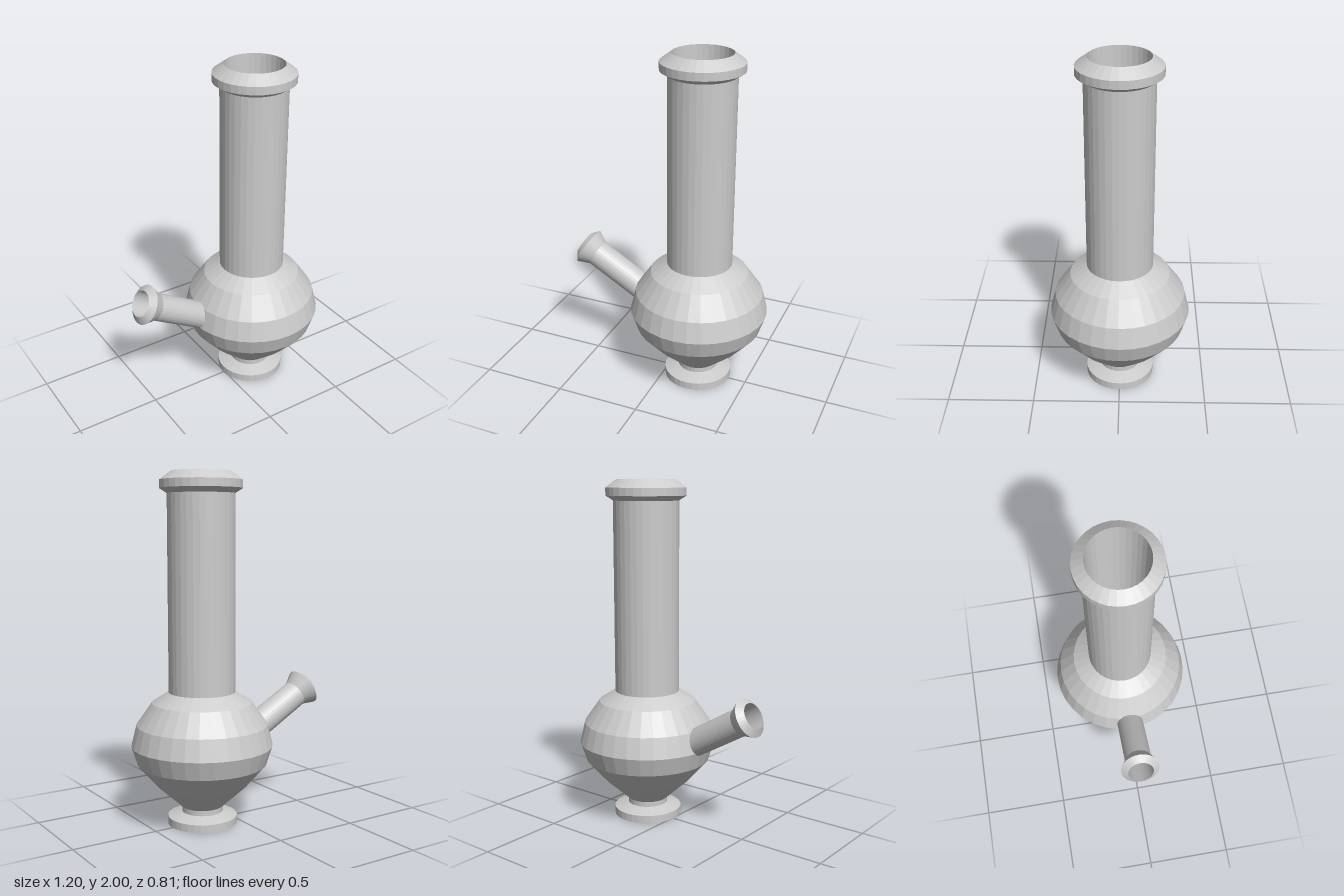
import * as THREE from 'three';

const material = new THREE.MeshStandardMaterial({ color: 0xcccccc, flatShading: true });

// Revolve [radius, height] pairs around the y axis
function turned(name, profile, sides) {
  const points = profile.map(([r, y]) => new THREE.Vector2(r, y));
  const mesh = new THREE.Mesh(new THREE.LatheGeometry(points, sides), material);
  mesh.name = name;
  return mesh;
}

export function createModel() {
  const model = new THREE.Group();
  model.name = 'waterPipe';

  // Upright vessel, all turned on one axis
  const vessel = new THREE.Group();
  vessel.name = 'vessel';
  vessel.position.x = 0.192;
  vessel.add(
    turned('foot', [[0, 0], [0.2, 0], [0.2, 0.045], [0.118, 0.07], [0.118, 0.1]], 32),
    turned('bulb', [[0.118, 0.1], [0.262, 0.23], [0.37, 0.353], [0.405, 0.46],
      [0.375, 0.58], [0.285, 0.708], [0.19, 0.767]], 32),
    turned('neck', [[0.19, 0.767], [0.19, 1.88]], 32),
    turned('rim', [[0.19, 1.88], [0.232, 1.907], [0.232, 1.952], [0.167, 2]], 32),
    // Hollow inside, running down from the mouth to a floor
    turned('bore', [[0.167, 2], [0.13, 0.13], [0, 0.13]], 32),
  );
  model.add(vessel);

  // Slanted side stem with a flared, hollow bowl at its tip
  const stem = new THREE.Group();
  stem.name = 'sideStem';
  stem.position.set(-0.476, 0.685, 0);
  stem.rotation.z = Math.PI / 3;
  stem.add(
    turned('stemTube', [[0, -0.4], [0.08, -0.4], [0.08, 0]], 32),
    turned('stemBowl', [[0.08, 0], [0.115, 0.07], [0.076, 0.101]], 32),
    turned('stemBore', [[0.076, 0.101], [0.066, -0.36], [0, -0.36]], 32),
  );
  model.add(stem);

  return model;
}
